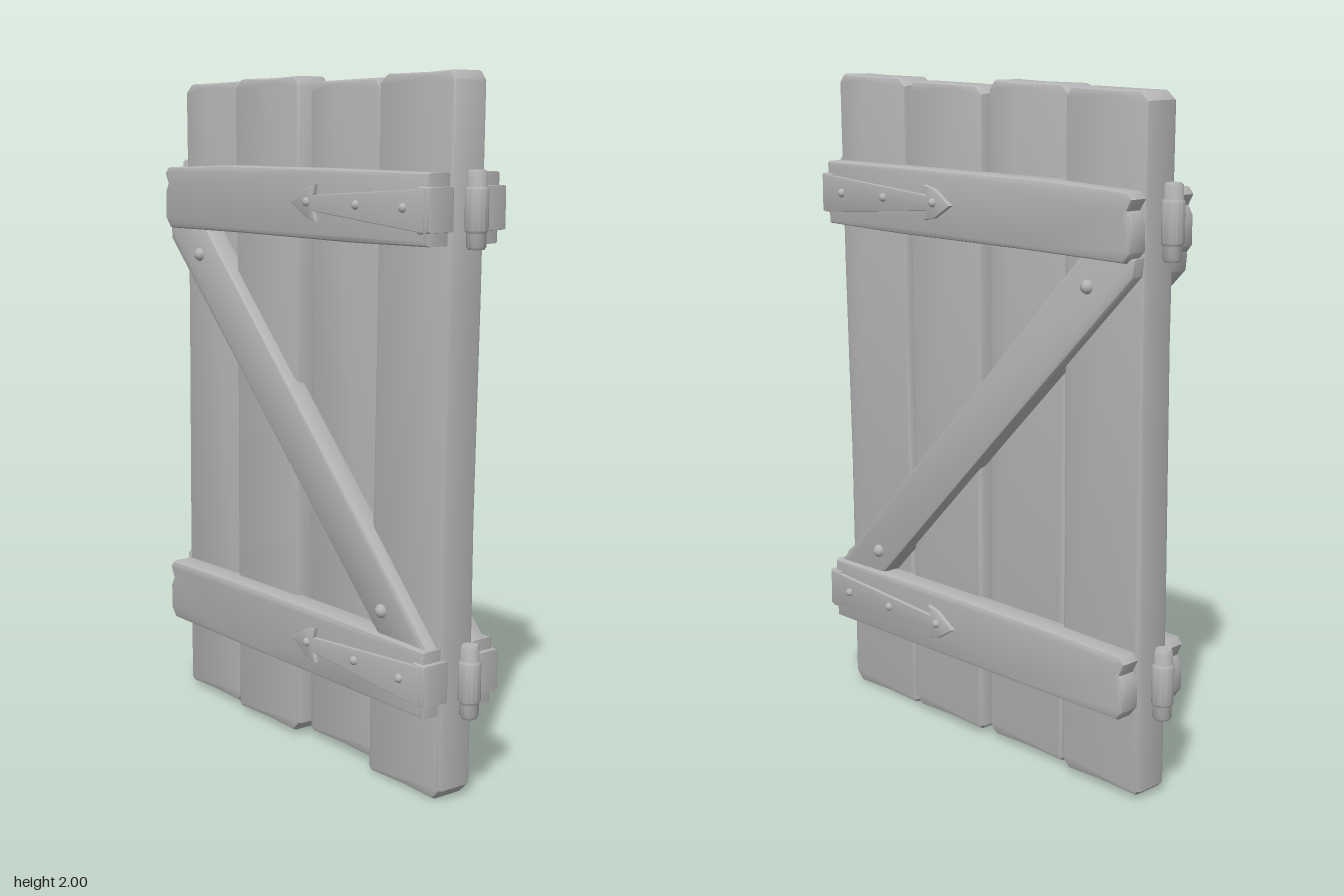
import * as THREE from 'three';
import { toCreasedNormals } from 'three/addons/utils/BufferGeometryUtils.js';

const grey = new THREE.MeshStandardMaterial({ color: 0xb4b4b4 });
grey.name = 'plain grey';

// Bevelled board: outline given as [z, y] points, filling x0..x1
function board(name, outline, x0, x1, bevel, lean = 0) {
  const shape = new THREE.Shape(outline.map(([z, y]) => new THREE.Vector2(z, y)));
  let geo = new THREE.ExtrudeGeometry(shape, {
    depth: x1 - x0 - 2 * bevel, bevelEnabled: true, bevelSegments: 2,
    bevelSize: bevel, bevelThickness: bevel, bevelOffset: -bevel,
  });
  geo.rotateY(-Math.PI / 2);
  geo.translate(x1 - bevel, 0, 0);
  const p = geo.attributes.position;
  for (let i = 0; i < p.count; i++) p.setX(i, p.getX(i) + lean * (p.getY(i) - 1));
  geo = toCreasedNormals(geo, 0.7);
  const mesh = new THREE.Mesh(geo, grey);
  mesh.name = name;
  return mesh;
}

// Domed rivet sitting on a face that points along side * x
function rivet(x, y, z, r, side) {
  const geo = new THREE.SphereGeometry(r, 10, 5, 0, Math.PI * 2, 0, Math.PI / 2);
  geo.rotateZ(-side * Math.PI / 2);
  const mesh = new THREE.Mesh(geo, grey);
  mesh.name = 'rivet';
  mesh.position.set(side * x, y, z);
  return mesh;
}

// Upright hinge pin with a wider barrel in the middle
function hingePin(x, y, z) {
  const profile = [[0, -0.105], [0.022, -0.105], [0.027, -0.097], [0.027, -0.062], [0.032, -0.055],
    [0.032, 0.055], [0.027, 0.062], [0.027, 0.097], [0.022, 0.105], [0, 0.105]];
  const geo = new THREE.LatheGeometry(profile.map(([r, h]) => new THREE.Vector2(r, h)), 14);
  const mesh = new THREE.Mesh(toCreasedNormals(geo, 0.7), grey);
  mesh.name = 'hingePin';
  mesh.position.set(x, y, z);
  return mesh;
}

export function createModel() {
  const model = new THREE.Group();
  model.name = 'plankDoor';

  // Four upright planks, each set at its own depth
  const planks = [
    { z: [0.335, 0.645], x: [-0.063, 0.057], y: [0, 2], lean: 0.013, chip: 0.012 },
    { z: [0.004, 0.322], x: [-0.035, 0.065], y: [0.015, 1.985], lean: 0, chip: -0.012 },
    { z: [-0.327, -0.008], x: [-0.07, 0.05], y: [0.01, 1.995], lean: 0, chip: 0.01 },
    { z: [-0.638, -0.337], x: [-0.045, 0.073], y: [0.01, 1.985], lean: 0.003, chip: -0.01 },
  ];
  for (const { z: [a, b], x: [x0, x1], y: [lo, hi], lean, chip } of planks) {
    const outline = [[a + 0.012, lo], [(a + b) / 2, lo + 0.004], [b - 0.03, lo], [b, lo + 0.03],
      [b - 0.006, 0.8], [b, 1.4], [b, hi - 0.025], [b - 0.02, hi],
      [(a + b) / 2 + chip * 4, hi - 0.004], [a + 0.03, hi - Math.abs(chip) / 2], [a, hi - 0.03],
      [a + 0.005, 1.3], [a, 0.6], [a, lo + 0.012]];
    model.add(board('plank', outline, x0, x1, 0.014, lean));
  }

  for (const side of [1, -1]) {
    const face = new THREE.Group();
    face.name = side > 0 ? 'leftFace' : 'rightFace';
    const span = (inner, outer) => (side > 0 ? [inner, outer] : [-outer, -inner]);

    // Top and bottom crossbars with worn ends
    const bar = (name, y, tilt) => face.add(board(name, [
      [0.632, y - 0.098 + tilt], [0.638, y + 0.095 + tilt], [0.2, y + 0.1], [-0.3, y + 0.098],
      [-0.615, y + 0.09 - tilt], [-0.632, y + 0.07 - tilt], [-0.615, y + 0.035], [-0.63, y + 0.01],
      [-0.63, y - 0.07 - tilt], [-0.605, y - 0.1 - tilt], [-0.2, y - 0.1], [0.3, y - 0.1],
    ], ...span(0.045, 0.13), 0.013));
    bar('topCrossbar', 1.636, 0.004);
    bar('bottomCrossbar', 0.348, -0.002);

    // Diagonal brace with its two bolts
    face.add(board('diagonalBrace', [
      [0.63, 0.4], [0.63, 0.435], [0.1, 0.985], [-0.43, 1.535], [-0.63, 1.545], [-0.625, 1.495],
      [-0.1, 0.965], [0.42, 0.435],
    ], ...span(0.04, 0.11), 0.01));
    face.add(rivet(0.108, 0.51, 0.435, 0.021, side), rivet(0.108, 1.455, -0.46, 0.021, side));

    // Arrow-headed hinge straps
    for (const y of [1.64, 0.348]) {
      face.add(board('hingeStrap', [
        [0.635, y - 0.062], [0.635, y + 0.055], [0.16, y + 0.022], [0.168, y + 0.052],
        [0.125, y + 0.042], [0.055, y - 0.002], [0.125, y - 0.044], [0.17, y - 0.052], [0.16, y - 0.024],
      ], ...span(0.12, 0.142), 0.004));
      for (const z of [0.55, 0.352, 0.13]) face.add(rivet(0.14, y + 0.002, z, 0.014, side));
      // Band folding round the end of the crossbar
      face.add(board('hingeBand', [
        [0.6, y - 0.066], [0.652, y - 0.06], [0.652, y + 0.058], [0.6, y + 0.06],
      ], ...span(0.048, 0.14), 0.01));
    }
    model.add(face);
  }

  // Hinge pins on both edges
  for (const y of [1.637, 0.34]) {
    model.add(hingePin(0.015, y, 0.667), hingePin(-0.003, y, -0.663));
  }
  return model;
}
